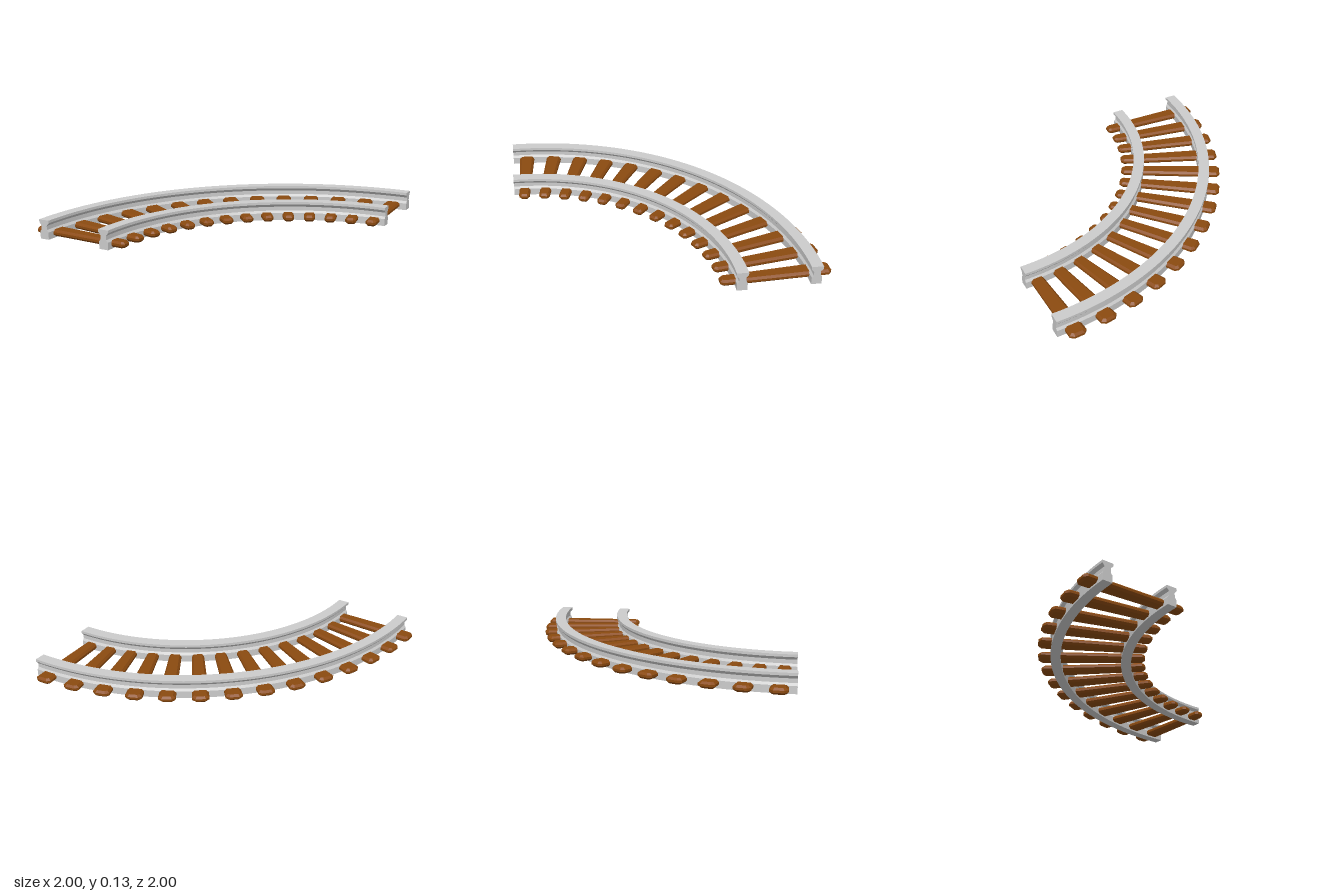
import * as THREE from 'three';
import { toCreasedNormals } from 'three/addons/utils/BufferGeometryUtils.js';

const TURN = Math.PI / 2;   // the track is a quarter circle
const CENTRE = 1;           // its centre is at x = 1, z = 1
const TIES = 14;

// Wraps a straight geometry around the curve: x is the radius, z the angle.
function bend(geometry) {
  const p = geometry.attributes.position;
  for (let i = 0; i < p.count; i++) {
    const r = p.getX(i), a = p.getZ(i);
    p.setXYZ(i, CENTRE - r * Math.cos(a), p.getY(i), CENTRE - r * Math.sin(a));
  }
  return toCreasedNormals(geometry, 0.3);
}

// Rail: half profile (half width, height), mirrored, swept along the curve
function railGeometry(radius) {
  const half = [[0.034, 0], [0.034, 0.05], [0.022, 0.066], [0.022, 0.094], [0.039, 0.114], [0.039, 0.132]];
  const right = half.map(([w, y]) => new THREE.Vector2(radius + w, y));
  const left = half.map(([w, y]) => new THREE.Vector2(radius - w, y)).reverse();
  const shape = new THREE.Shape([...right, ...left]);
  return bend(new THREE.ExtrudeGeometry(shape, { depth: TURN, steps: 42, bevelEnabled: false }));
}

// Tie: chamfered plank that widens with the radius
function tieGeometry(angle) {
  const inner = 1.27, outer = 2, mid = (inner + outer) / 2;
  const bevel = 0.014, bottom = 0.012, height = 0.043, cut = 0.012;
  const l = (outer - inner) / 2 - bevel, w = 0.048 - bevel;
  const shape = new THREE.Shape([
    [l, -w + cut], [l, w - cut], [l - cut, w], [-l + cut, w],
    [-l, w - cut], [-l, -w + cut], [-l + cut, -w], [l - cut, -w],
  ].map(([x, y]) => new THREE.Vector2(x, y)));
  const g = new THREE.ExtrudeGeometry(shape, {
    depth: height - 2 * bevel, bevelSize: bevel, bevelThickness: bevel, bevelSegments: 1,
  });
  g.rotateX(-Math.PI / 2);
  g.scale(1, 1, 1 / mid);
  g.translate(mid, bottom + bevel, angle);
  return bend(g);
}

export function createModel() {
  const track = new THREE.Group();
  track.name = 'curvedTrack';
  const metal = new THREE.MeshStandardMaterial({ color: 0xcccccc });
  const wood = new THREE.MeshStandardMaterial({ color: 0x8b4a10 });

  // Two concentric rails
  for (const [name, radius] of [['outerRail', 1.88], ['innerRail', 1.4]]) {
    const rail = new THREE.Mesh(railGeometry(radius), metal);
    rail.name = name;
    track.add(rail);
  }

  // Evenly spaced radial ties
  const ties = new THREE.Group();
  ties.name = 'ties';
  for (let i = 0; i < TIES; i++) {
    const tie = new THREE.Mesh(tieGeometry(((i + 0.5) / TIES) * TURN), wood);
    tie.name = 'tie';
    ties.add(tie);
  }
  track.add(ties);
  return track;
}
